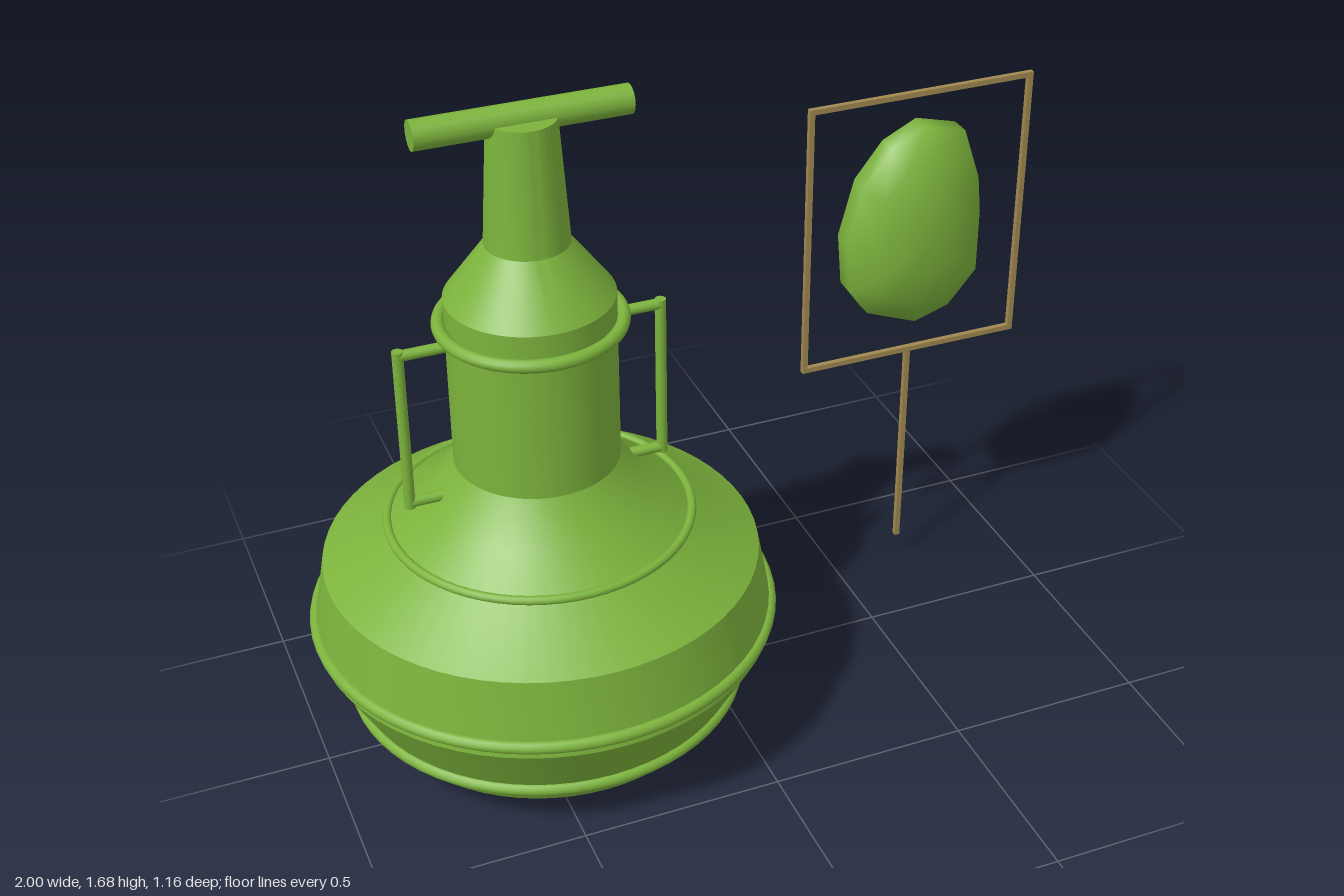
import * as THREE from 'three';
import { toCreasedNormals } from 'three/addons/utils/BufferGeometryUtils.js';

const green = new THREE.MeshStandardMaterial({ color: 0x7cb33c });
green.name = 'leaf green';
const tan = new THREE.MeshStandardMaterial({ color: 0xa08850 });
tan.name = 'tan wood';

function add(parent, name, geometry, material, x = 0, y = 0, z = 0) {
  const mesh = new THREE.Mesh(geometry, material);
  mesh.name = name;
  mesh.position.set(x, y, z);
  parent.add(mesh);
  return mesh;
}

// Round bar between two points
function bar(parent, name, a, b, radius, material) {
  const from = new THREE.Vector3(...a), to = new THREE.Vector3(...b);
  const dir = to.clone().sub(from);
  const mid = from.clone().add(to).multiplyScalar(0.5);
  const mesh = add(parent, name, new THREE.CylinderGeometry(radius, radius, dir.length(), 16), material, mid.x, mid.y, mid.z);
  mesh.quaternion.setFromUnitVectors(new THREE.Vector3(0, 1, 0), dir.normalize());
  return mesh;
}

function createVessel() {
  const vessel = new THREE.Group();
  vessel.name = 'vessel';

  // Turned body, closed at both ends
  const profile = [
    [0, 0], [0.2, 0], [0.44, 0.07], [0.568, 0.31], [0.533, 0.503], [0.27, 0.67],
    [0.2, 0.775], [0.2, 1.21], [0.1, 1.345], [0.08, 1.65], [0, 1.65],
  ].map(([r, y]) => new THREE.Vector2(r, y));
  add(vessel, 'body', toCreasedNormals(new THREE.LatheGeometry(profile, 64), 0.5), green);

  // Raised bands: height, radius, thickness
  for (const [y, r, t] of [[0.138, 0.482, 0.016], [0.338, 0.562, 0.016], [0.61, 0.369, 0.011], [1.143, 0.214, 0.016]]) {
    const ring = add(vessel, 'band', new THREE.TorusGeometry(r, t, 12, 64), green, 0, y, 0);
    ring.rotation.x = Math.PI / 2;
  }

  // Square side handles
  for (const s of [-1, 1]) {
    const handle = new THREE.Group();
    handle.name = s > 0 ? 'leftHandle' : 'rightHandle';
    const r = 0.0135, out = s * 0.319;
    bar(handle, 'handleGrip', [out, 0.697, 0], [out, 1.125, 0], r, green);
    for (const y of [0.71, 1.112]) bar(handle, 'handleArm', [s * 0.19, y, 0], [out, y, 0], r, green);
    vessel.add(handle);
  }

  // Crossbar on the top of the neck
  bar(vessel, 'crossbar', [-0.253, 1.65, 0], [0.253, 1.65, 0], 0.035, green);
  vessel.position.x = -0.422;
  return vessel;
}

// Smooth pebble lofted from scaled copies of one outline
function pebbleGeometry() {
  const outline = [
    [0, 0.28], [0.112, 0.25], [0.16, 0.11], [0.171, 0.01], [0.171, -0.16], [0.095, -0.25],
    [0, -0.28], [-0.14, -0.225], [-0.193, -0.15], [-0.205, -0.01], [-0.165, 0.14], [-0.091, 0.235],
  ];
  // Depth and scale of each layer, front to back
  const layers = [[-0.13, 0.4], [-0.157, 0.76], [-0.2, 1], [-0.255, 1], [-0.287, 0.86], [-0.315, 0.45]];
  const n = outline.length, positions = [], index = [];
  for (const [z, s] of layers) for (const [x, y] of outline) positions.push(x * s, y * s, z);
  const front = n * layers.length, back = front + 1, last = n * (layers.length - 1);
  positions.push(0, 0, layers[0][0], 0, 0, layers[layers.length - 1][0]);
  for (let j = 0; j < n; j++) {
    const k = (j + 1) % n;
    for (let i = 0; i < layers.length - 1; i++) {
      const a = i * n + j, b = i * n + k;
      index.push(a, b, b + n, a, b + n, a + n);
    }
    index.push(front, k, j, back, last + j, last + k);
  }
  const geometry = new THREE.BufferGeometry();
  geometry.setAttribute('position', new THREE.Float32BufferAttribute(positions, 3));
  geometry.setIndex(index);
  geometry.computeVertexNormals();
  return geometry;
}

function createSign() {
  const sign = new THREE.Group();
  sign.name = 'framedPebble';
  const t = 0.014, z = -0.238, left = 0.388, right = 0.993, low = 0.677, high = 1.415;
  const midX = (left + right) / 2, midY = (low + high) / 2;

  // Thin square frame on a stick
  for (const x of [left, right]) add(sign, 'frameSide', new THREE.BoxGeometry(t, high - low + t, t), tan, x, midY, z);
  for (const y of [low, high]) add(sign, 'frameRail', new THREE.BoxGeometry(right - left - t, t, t), tan, midX, y, z);
  add(sign, 'stick', new THREE.BoxGeometry(t, low - 0.07, t), tan, 0.687, (low + 0.07) / 2, z);

  // Pebble hanging in the frame
  add(sign, 'pebble', pebbleGeometry(), green, 0.685, 1.06, 0);
  return sign;
}

export function createModel() {
  const model = new THREE.Group();
  model.name = 'vesselAndSign';
  model.add(createVessel(), createSign());
  return model;
}
